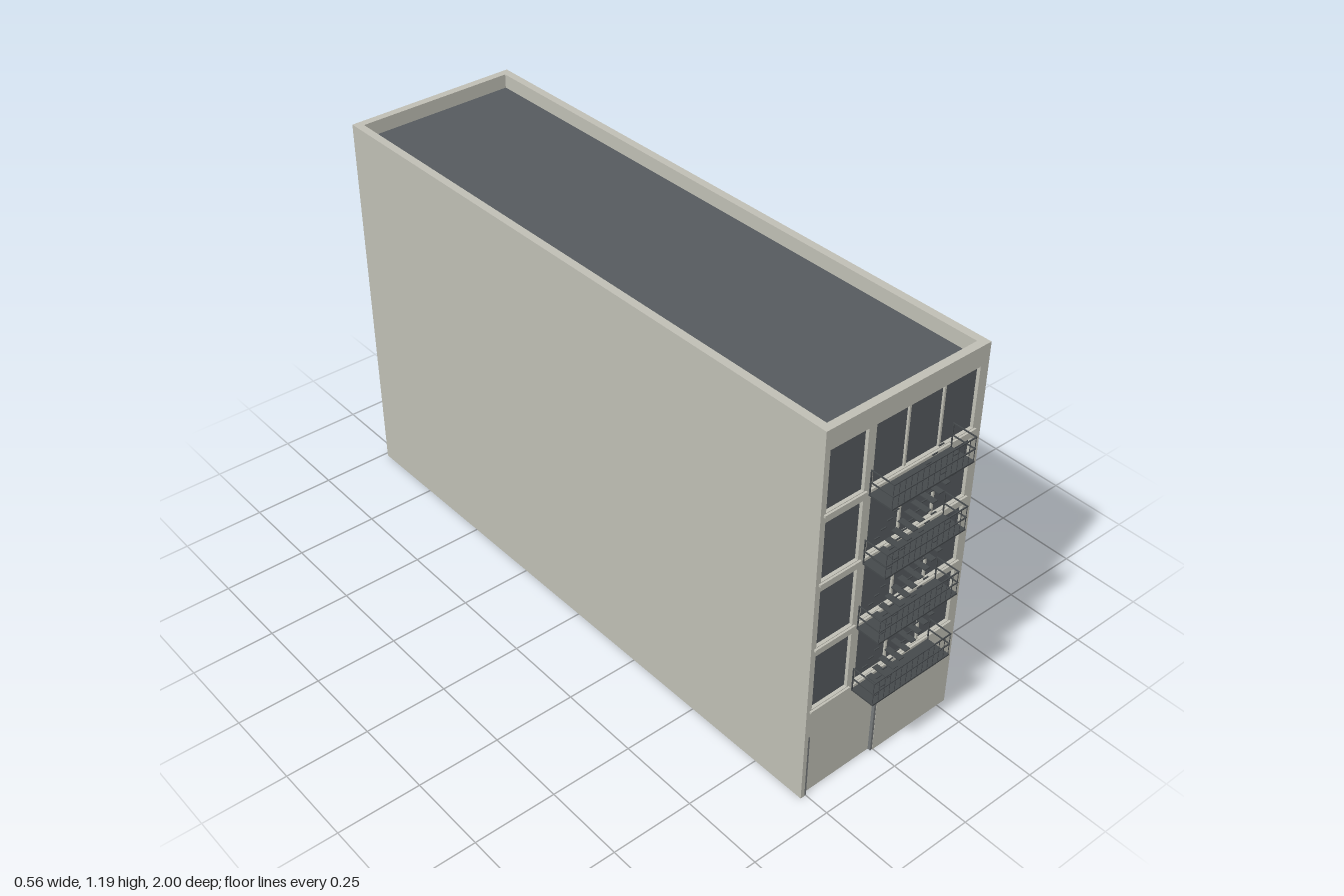
import * as THREE from 'three';

const material = (name, color) => {
  const m = new THREE.MeshStandardMaterial({ color });
  m.name = name;
  return m;
};
const plaster = material('plaster', 0xc0bfb5);
const slate = material('slate', 0x565b5f);
const iron = material('iron', 0x45494c);
const frameGrey = material('frameGrey', 0x75797a);

// Building size, wall thickness and storeys
const HALF_W = 0.274, HALF_D = 0.955, H = 1.19, T = 0.024;
const FLOORS = 4, PITCH = 0.2115;

// Box given by its minimum and maximum on each axis
function box(parent, name, mat, [x0, x1], [y0, y1], [z0, z1]) {
  const mesh = new THREE.Mesh(new THREE.BoxGeometry(x1 - x0, y1 - y0, z1 - z0), mat);
  mesh.position.set((x0 + x1) / 2, (y0 + y1) / 2, (z0 + z1) / 2);
  mesh.name = name;
  parent.add(mesh);
  return mesh;
}

function group(parent, name) {
  const g = new THREE.Group();
  g.name = name;
  parent.add(g);
  return g;
}

// End wall with a doorway cut from the ground and rectangular window holes
function endWall(parent, name, z, [d0, d1, dTop], windows) {
  const shape = new THREE.Shape([
    [-HALF_W, 0], [d0, 0], [d0, dTop], [d1, dTop], [d1, 0], [HALF_W, 0], [HALF_W, H], [-HALF_W, H],
  ].map(([x, y]) => new THREE.Vector2(x, y)));
  for (const [x0, x1, y0, y1] of windows) {
    shape.holes.push(new THREE.Path([[x0, y0], [x0, y1], [x1, y1], [x1, y0]]
      .map(([x, y]) => new THREE.Vector2(x, y))));
  }
  const mesh = new THREE.Mesh(new THREE.ExtrudeGeometry(shape, { depth: T, bevelEnabled: false }), plaster);
  mesh.position.z = z;
  mesh.name = name;
  parent.add(mesh);
}

function buildFront(parent) {
  const front = group(parent, 'frontFacade');
  const bays = [[-0.257, -0.133], [-0.107, 0.245]];
  const windows = [];
  for (let i = 0; i < FLOORS; i++) {
    const y0 = 0.314 + i * PITCH, y1 = y0 + 0.182;
    for (const [x0, x1] of bays) {
      windows.push([x0, x1, y0, y1]);
      box(front, 'frontGlass', slate, [x0, x1], [y0, y1], [HALF_D - 0.018, HALF_D - 0.01]);
      box(front, 'frontSill', plaster, [x0 - 0.007, x1 + 0.007], [y0 - 0.009, y0 - 0.002], [HALF_D - 0.01, HALF_D + 0.006]);
    }
    for (const x of [0.009, 0.129]) {
      box(front, 'frontMullion', plaster, [x - 0.003, x + 0.003], [y0, y1], [HALF_D - 0.014, HALF_D - 0.004]);
    }
  }
  const [g0, g1, gTop] = [-0.261, -0.009, 0.216];
  endWall(front, 'frontWall', HALF_D - T, [g0, g1, gTop], windows);
  // Wide ground-floor door between dark posts
  box(front, 'garageDoor', plaster, [g0, g1], [0, gTop], [HALF_D - 0.02, HALF_D - 0.01]);
  for (const x of [g0, g1 - 0.007]) {
    box(front, 'garagePost', frameGrey, [x, x + 0.007], [0, gTop], [HALF_D - 0.01, HALF_D - 0.001]);
  }
}

function buildBack(parent) {
  const back = group(parent, 'backFacade');
  const windows = [], z = -HALF_D;
  for (let i = 0; i < FLOORS; i++) {
    const y0 = 0.363 + i * PITCH, y1 = y0 + 0.108, mid = (y0 + y1) / 2;
    for (const cx of [-0.103, 0.107]) {
      const x0 = cx - 0.05, x1 = cx + 0.05, f = 0.007;
      windows.push([x0, x1, y0, y1]);
      box(back, 'backGlass', slate, [x0, x1], [y0, y1], [z + 0.012, z + 0.02]);
      // Sash frame and cross rail
      for (const x of [x0, x1 - f]) box(back, 'sashStile', plaster, [x, x + f], [y0, y1], [z + 0.006, z + 0.013]);
      for (const y of [y0, mid - f / 2, y1 - f]) {
        box(back, 'sashRail', plaster, [x0 + f, x1 - f], [y, y + f], [z + 0.006, z + 0.013]);
      }
      box(back, 'backSill', plaster, [x0 - 0.01, x1 + 0.01], [y0 - 0.01, y0], [z - 0.008, z + 0.006]);
    }
  }
  const [d0, d1, dTop] = [-0.038, 0.036, 0.162];
  endWall(back, 'backWall', z, [d0, d1, dTop], windows);
  // Deep recessed back door
  box(back, 'backDoor', plaster, [d0, d1], [0, dTop], [z + 0.034, z + 0.042]);
  for (const x of [d0 - 0.006, d1]) {
    box(back, 'backDoorJamb', plaster, [x, x + 0.006], [0, dTop], [z + T, z + 0.042]);
  }
  box(back, 'backDoorHead', plaster, [d0 - 0.006, d1 + 0.006], [dTop, dTop + 0.006], [z + T, z + 0.042]);
}

function buildFireEscape(parent) {
  const escape = group(parent, 'fireEscape');
  const x0 = -0.12, x1 = 0.164, z0 = HALF_D + 0.004, z1 = HALF_D + 0.079, r = 0.0015;
  const POSTS = 14, STEPS = 11;
  for (let i = 0; i < FLOORS; i++) {
    const y = 0.296 + i * PITCH, top = y + 0.077;
    const landing = group(escape, 'landing');
    box(landing, 'landingFloor', iron, [x0, x1], [y, y + 0.005], [z0, z1]);
    // Rails round the three open sides
    for (const ry of [y + 0.042, top]) {
      box(landing, 'frontRail', iron, [x0, x1], [ry - 2 * r, ry], [z1 - 2 * r, z1]);
      for (const x of [x0, x1 - 2 * r]) {
        box(landing, 'endRail', iron, [x, x + 2 * r], [ry - 2 * r, ry], [z0, z1 - 2 * r]);
      }
    }
    for (let k = 0; k <= POSTS; k++) {
      const x = x0 + r + (x1 - x0 - 2 * r) * k / POSTS;
      box(landing, 'baluster', iron, [x - r / 2, x + r / 2], [y, top], [z1 - 2 * r, z1 - r]);
    }
    for (const x of [x0, x1 - 2 * r]) {
      box(landing, 'wallPost', iron, [x, x + 2 * r], [y, top], [z0, z0 + 2 * r]);
    }
    if (i === FLOORS - 1) continue;
    // Stair flight up to the next landing, with stepped handrails on both sides
    const flight = group(escape, 'stairFlight');
    for (let k = 0; k < STEPS; k++) {
      const x = -0.092 + 0.0202 * k, sy = y + 0.014 + 0.0181 * k;
      box(flight, 'tread', iron, [x - 0.009, x + 0.009], [sy, sy + 0.003], [z0 + 0.012, z1 - 0.012]);
      for (const z of [z0 + 0.012, z1 - 0.015]) {
        box(flight, 'handrailStep', iron, [x - 0.009, x + 0.009], [sy + 0.06, sy + 0.063], [z, z + 0.003]);
      }
    }
  }
}

export function createModel() {
  const model = new THREE.Group();
  model.name = 'building';
  // The block stands very slightly turned on its plot
  const block = group(model, 'block');
  block.position.set(-0.002, 0, -0.035);
  block.rotation.y = 0.0084;

  // Long blank side walls and sunken roof
  for (const s of [-1, 1]) {
    const xs = [s * HALF_W, s * (HALF_W - T)].sort((a, b) => a - b);
    box(block, s > 0 ? 'leftWall' : 'rightWall', plaster, xs, [0, H], [-HALF_D + T, HALF_D - T]);
  }
  box(block, 'roof', slate, [-HALF_W + T, HALF_W - T], [1.137, 1.147], [-HALF_D + T, HALF_D - T]);

  buildFront(block);
  buildBack(block);
  buildFireEscape(block);
  return model;
}
